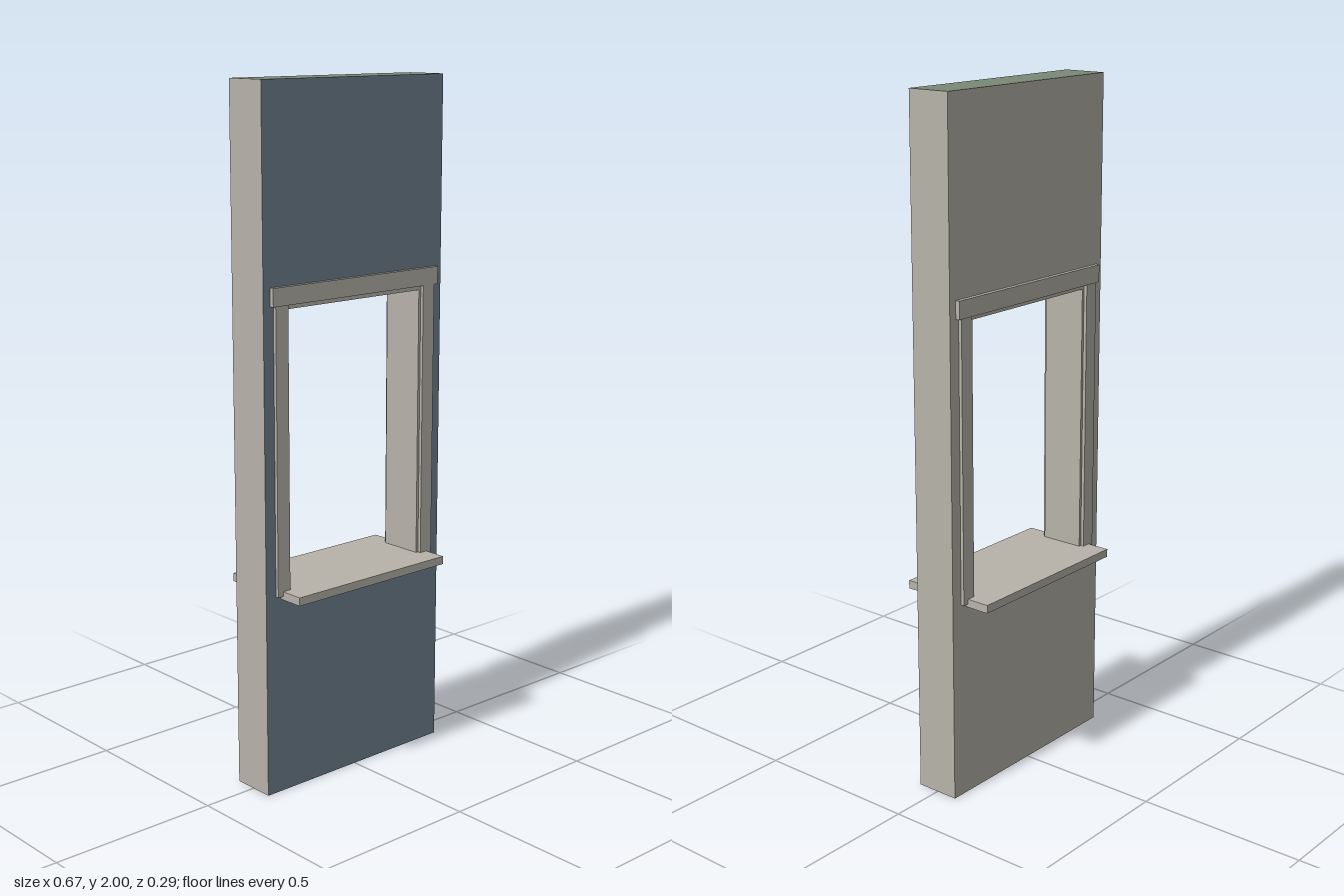
import * as THREE from 'three';

const plaster = new THREE.MeshStandardMaterial({ color: 0xb7b3aa });
plaster.name = 'warm grey';
const blue = new THREE.MeshStandardMaterial({ color: 0x708090 });
blue.name = 'slate blue';
const green = new THREE.MeshStandardMaterial({ color: 0x7b8978 });
green.name = 'sage green';

const WALL = { x: 0.333, z: 0.066, top: 2 };
const HOLE = { x: 0.265, bottom: 0.58, top: 1.41 };

function rect(shape, x, y0, y1) {
  shape.moveTo(-x, y0);
  shape.lineTo(x, y0);
  shape.lineTo(x, y1);
  shape.lineTo(-x, y1);
  shape.closePath();
  return shape;
}

// Box given by its lower and upper corners
function box(name, [x0, y0, z0], [x1, y1, z1]) {
  const mesh = new THREE.Mesh(new THREE.BoxGeometry(x1 - x0, y1 - y0, z1 - z0), plaster);
  mesh.position.set((x0 + x1) / 2, (y0 + y1) / 2, (z0 + z1) / 2);
  mesh.name = name;
  return mesh;
}

// Wall slab with the window opening; front face blue, top face green
function makeWall() {
  const shape = rect(new THREE.Shape(), WALL.x, 0, WALL.top);
  shape.holes.push(rect(new THREE.Path(), HOLE.x, HOLE.bottom, HOLE.top));
  const geo = new THREE.ExtrudeGeometry(shape, { depth: WALL.z * 2, bevelEnabled: false });
  geo.translate(0, 0, -WALL.z);
  geo.clearGroups();
  const { position, normal } = geo.attributes;
  for (let i = 0; i < position.count; i += 3) {
    const isFront = normal.getZ(i) > 0.5;
    const isTop = normal.getY(i) > 0.5 && position.getY(i) > WALL.top - 0.01;
    geo.addGroup(i, 3, isFront ? 1 : isTop ? 2 : 0);
  }
  const wall = new THREE.Mesh(geo, [plaster, blue, green]);
  wall.name = 'wall';
  return wall;
}

export function createModel() {
  const model = new THREE.Group();
  model.name = 'windowWall';
  model.add(makeWall());

  // Lining of the opening
  const lining = new THREE.Group();
  lining.name = 'lining';
  lining.add(
    box('leftLining', [0.246, 0.59, -WALL.z], [HOLE.x, HOLE.top, WALL.z]),
    box('rightLining', [-HOLE.x, 0.59, -WALL.z], [-0.246, HOLE.top, WALL.z]),
    box('topLining', [-0.246, 1.392, -WALL.z], [0.246, HOLE.top, WALL.z]),
  );
  model.add(lining);

  // Sill running through the wall and out on both sides
  model.add(box('sill', [-0.28, 0.578, -0.146], [0.28, 0.602, 0.146]));

  // Casing: the same on both faces, the back one turned around
  for (const [name, angle] of [['frontCasing', 0], ['backCasing', Math.PI]]) {
    const casing = new THREE.Group();
    casing.name = name;
    casing.add(
      box('leftCasing', [0.254, 0.588, WALL.z], [0.298, 1.405, 0.076]),
      box('rightCasing', [-0.298, 0.588, WALL.z], [-0.254, 1.405, 0.076]),
      box('headCasing', [-0.309, 1.405, WALL.z], [0.309, 1.456, 0.079]),
    );
    casing.rotation.y = angle;
    model.add(casing);
  }
  return model;
}
